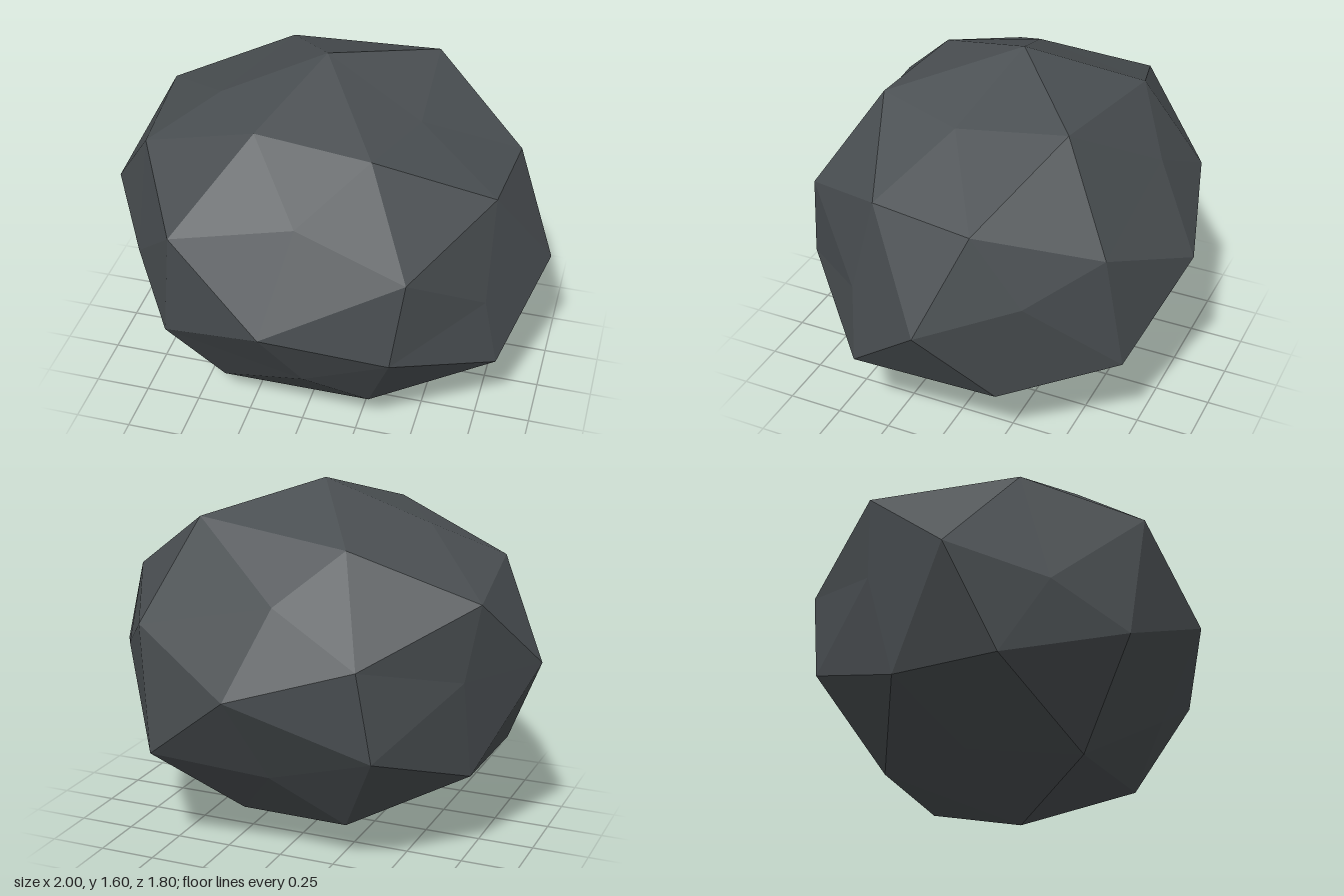
import * as THREE from 'three';

// Half of the rock's corners, measured from its centre; the other half mirrors through the centre.
const CORNERS = [
  // axis tips
  [1, -0.055, -0.025], [-0.03, 0.8, -0.06], [-0.07, -0.02, 0.9],
  // ring near the top
  [0.29, 0.63, 0.45], [-0.22, 0.65, 0.4], [0.385, 0.67, -0.44], [-0.31, 0.6, -0.51],
  // ring near the sides
  [0.78, 0.4, 0.25], [0.81, 0.37, -0.2], [0.84, -0.39, 0.35], [0.75, -0.45, -0.28],
  // ring near the front
  [0.5, 0.23, 0.7], [0.45, -0.17, 0.75], [-0.49, 0.31, 0.75], [-0.56, -0.24, 0.685],
  // shallow corners between the rings
  [0.78, -0.055, 0.37], [0.77, 0.055, -0.41],
  [0.06, -0.38, 0.69], [0.02, 0.38, 0.65],
  [-0.475, 0.61, 0.06], [0.41, 0.6, 0.055],
].map((c) => new THREE.Vector3(...c));

const SIZE = new THREE.Vector3(1, 0.8, 0.9);
const DIRECTIONS = CORNERS.map((c) => c.clone().divide(SIZE).normalize());

// Snap a sphere point to the corner lying in the closest direction
function chiselled(point) {
  let best = 0, index = 0;
  DIRECTIONS.forEach((dir, i) => {
    const d = dir.dot(point);
    if (Math.abs(d) > Math.abs(best)) { best = d; index = i; }
  });
  return CORNERS[index].clone().multiplyScalar(Math.sign(best));
}

export function createModel() {
  const slate = new THREE.MeshStandardMaterial({ color: 0x4a4f52, flatShading: true });
  slate.name = 'slate grey';

  // Rough boulder: a once-divided icosahedron with every corner moved
  const geometry = new THREE.IcosahedronGeometry(1, 1);
  const position = geometry.attributes.position;
  const point = new THREE.Vector3();
  for (let i = 0; i < position.count; i++) {
    const p = chiselled(point.fromBufferAttribute(position, i));
    position.setXYZ(i, p.x, p.y + SIZE.y, p.z);
  }
  geometry.computeVertexNormals();

  const rock = new THREE.Mesh(geometry, slate);
  rock.name = 'rock';

  const model = new THREE.Group();
  model.name = 'boulder';
  model.add(rock);
  return model;
}
